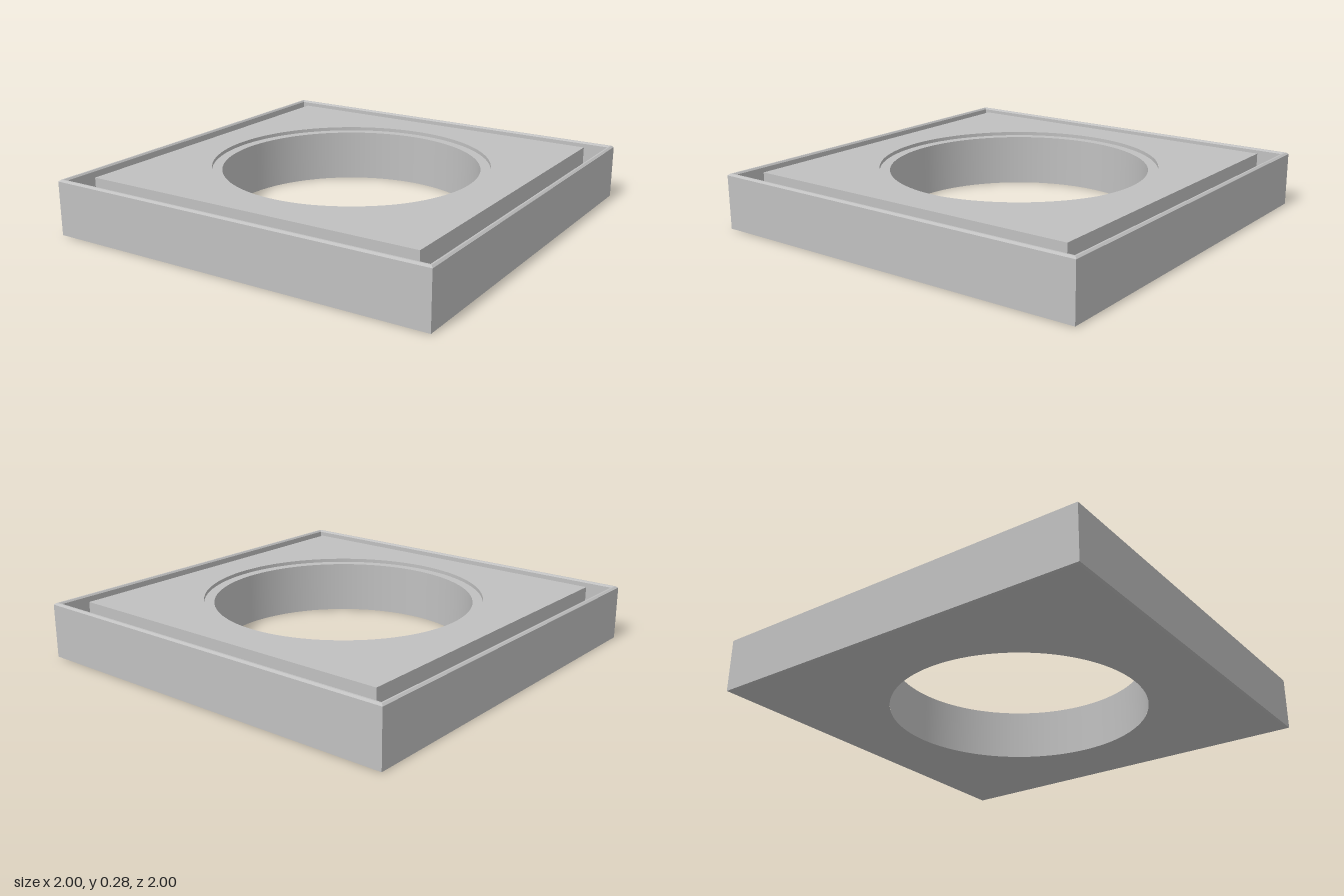
import * as THREE from 'three';

const HEIGHT = 0.28;   // overall height
const PANEL = 0.88;    // half width of the raised panel
const BASE = 0.985;    // half width of the flat underside
const SEAT_R = 0.69;   // counterbore radius
const BORE_R = 0.64;   // through hole radius
const SEAT_Y = 0.262;  // height of the counterbore ledge
const FLOOR_Y = 0.14;  // bottom of the groove

const grey = new THREE.MeshStandardMaterial({ color: 0xc0c0c0 });
grey.name = 'grey';

function part(name, geometry) {
  const mesh = new THREE.Mesh(geometry, grey);
  mesh.name = name;
  return mesh;
}

// Square ring swept from [half width, height] points, with flat faces
function squareSweep(points) {
  const profile = points.map(([w, y]) => new THREE.Vector2(w * Math.SQRT2, y));
  const g = new THREE.LatheGeometry(profile, 4).rotateY(Math.PI / 4).toNonIndexed();
  g.computeVertexNormals();
  return g;
}

// Flat square plate with a round hole
function squareWithHole(half, radius) {
  const s = new THREE.Shape();
  s.moveTo(-half, -half).lineTo(half, -half).lineTo(half, half).lineTo(-half, half).closePath();
  const hole = new THREE.Path();
  hole.absarc(0, 0, radius, 0, Math.PI * 2, true);
  s.holes.push(hole);
  return new THREE.ShapeGeometry(s, 96);
}

// One smooth band of the stepped hole
function band(r0, y0, r1, y1) {
  return new THREE.LatheGeometry([new THREE.Vector2(r0, y0), new THREE.Vector2(r1, y1)], 96);
}

export function createModel() {
  const model = new THREE.Group();
  model.name = 'squareFrame';

  // Outer wall, bevelled lip, groove and the sides of the raised panel
  model.add(part('outerWallAndGroove', squareSweep([
    [BASE, 0], [1, 0.003], [1, 0.272], [0.99, HEIGHT], [0.982, HEIGHT],
    [0.975, 0.272], [0.975, FLOOR_Y], [PANEL, FLOOR_Y], [PANEL, HEIGHT],
  ])));

  // Flat faces above and below
  model.add(part('panelTop', squareWithHole(PANEL, SEAT_R).rotateX(-Math.PI / 2).translate(0, HEIGHT, 0)));
  model.add(part('underside', squareWithHole(BASE, BORE_R).rotateX(Math.PI / 2)));

  // Stepped round hole
  model.add(part('seatWall', band(SEAT_R, HEIGHT, SEAT_R, SEAT_Y)));
  model.add(part('seatLedge', band(SEAT_R, SEAT_Y, BORE_R, SEAT_Y)));
  model.add(part('boreWall', band(BORE_R, SEAT_Y, BORE_R, 0)));

  return model;
}
